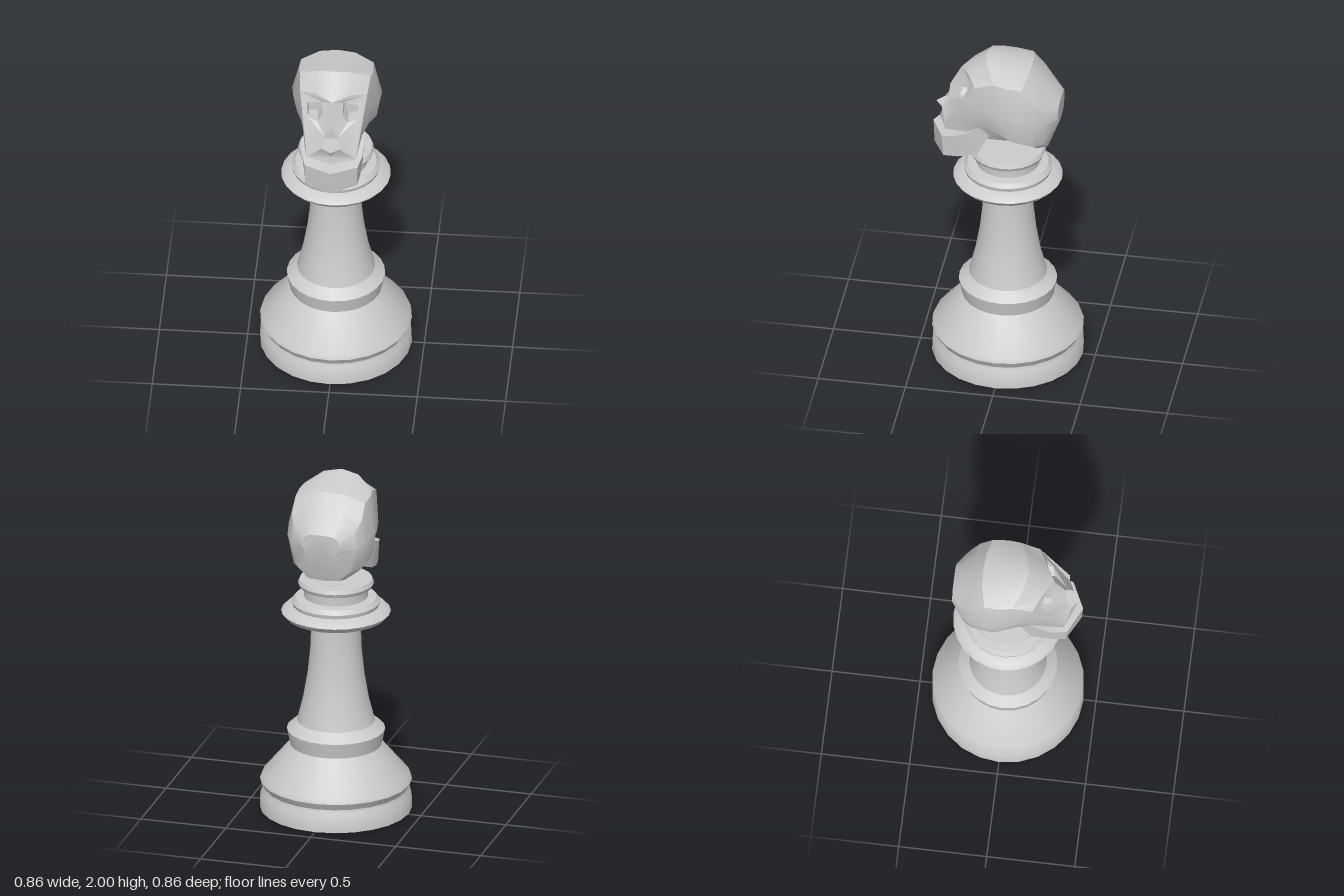
import * as THREE from 'three';
import { toCreasedNormals } from 'three/addons/utils/BufferGeometryUtils.js';

const material = new THREE.MeshStandardMaterial({ color: 0xcccccc });

// Collects triangles on the +x half and mirrors each one to -x.
class HalfSurface {
  constructor() { this.positions = []; }
  tri(a, b, c) {
    const flip = ([x, y, z]) => [-x, y, z];
    this.positions.push(...a, ...b, ...c, ...flip(a), ...flip(c), ...flip(b));
  }
  quad(a, b, c, d) { this.tri(a, b, c); this.tri(a, c, d); }
  // Stations run front to back; points in each run from top centre to bottom centre.
  loft(stations) {
    for (let i = 0; i < stations.length - 1; i++) {
      const s = stations[i], t = stations[i + 1];
      for (let j = 0; j < s.length - 1; j++) this.quad(s[j], s[j + 1], t[j + 1], t[j]);
    }
  }
  fan(points) {
    for (let i = 1; i < points.length - 1; i++) this.tri(points[0], points[i], points[i + 1]);
  }
  // Panel facing +z with a hole
  panel(contour, hole) {
    const all = [...contour, ...hole];
    const flat = (list) => list.map(([x, y]) => new THREE.Vector2(x, y));
    for (const [i, j, k] of THREE.ShapeUtils.triangulateShape(flat(contour), [flat(hole)])) {
      const [a, b, c] = [all[i], all[j], all[k]];
      const area = (b[0] - a[0]) * (c[1] - a[1]) - (b[1] - a[1]) * (c[0] - a[0]);
      if (area > 0) this.tri(a, b, c); else this.tri(a, c, b);
    }
  }
  // Recess behind a counter-clockwise rim
  socket(rim, backZ, closed) {
    const back = rim.map(([x, y]) => [x, y, backZ]);
    const count = closed ? rim.length : rim.length - 1;
    for (let i = 0; i < count; i++) {
      const n = (i + 1) % rim.length;
      this.quad(rim[i], rim[n], back[n], back[i]);
    }
    this.fan(back);
  }
  mesh(name, crease) {
    const geometry = new THREE.BufferGeometry();
    geometry.setAttribute('position', new THREE.Float32BufferAttribute(this.positions, 3));
    const mesh = new THREE.Mesh(toCreasedNormals(geometry, crease), material);
    mesh.name = name;
    return mesh;
  }
}

// Turned pawn body: base, stem, collar and top disc
function createPedestal() {
  const profile = [
    [0, 0], [0.43, 0.005], [0.427, 0.09], [0.412, 0.115], [0.408, 0.135], [0.43, 0.175], [0.42, 0.2],
    [0.26, 0.39], [0.278, 0.48], [0.22, 0.53], [0.185, 0.67], [0.16, 0.82], [0.145, 0.97], [0.14, 1.12],
    [0.24, 1.143], [0.285, 1.16], [0.31, 1.19], [0.285, 1.215], [0.245, 1.228], [0.25, 1.25],
    [0.23, 1.275], [0.18, 1.28], [0.18, 1.335], [0.205, 1.34], [0.215, 1.362], [0.205, 1.385], [0, 1.387],
  ].map(([r, y]) => new THREE.Vector2(r, y));
  const mesh = new THREE.Mesh(toCreasedNormals(new THREE.LatheGeometry(profile, 24), 0.6), material);
  mesh.name = 'pedestal';
  return mesh;
}

function createSkull() {
  const skull = new HalfSurface();
  // Edge of the face, from the middle of the brow down to the upper lip
  const faceEdge = [
    [0, 1.89, 0.265], [0.1, 1.905, 0.205], [0.19, 1.88, 0.16], [0.175, 1.76, 0.23],
    [0.15, 1.61, 0.335], [0.14, 1.55, 0.335], [0, 1.542, 0.39],
  ];
  const eye = [
    [0.145, 1.835, 0.205], [0.06, 1.865, 0.225], [0.06, 1.79, 0.25], [0.085, 1.75, 0.26], [0.14, 1.76, 0.24],
  ];
  const nose = [[0, 1.64, 0.41], [0.05, 1.64, 0.37], [0.038, 1.70, 0.335], [0, 1.765, 0.33]];
  skull.panel([...faceEdge, [0, 1.59, 0.375], ...nose], eye);
  skull.socket(eye, 0.165, true);
  skull.socket(nose, 0.27, false);

  // Cranium arches from the temples round to the back
  const backPlate = [
    [0, 1.755, -0.307], [0.07, 1.75, -0.307], [0.1, 1.73, -0.305], [0.11, 1.68, -0.305],
    [0.09, 1.64, -0.305], [0.06, 1.625, -0.307], [0, 1.62, -0.307],
  ];
  skull.loft([
    faceEdge,
    [[0, 2, 0.12], [0.1, 1.985, 0.1], [0.2, 1.92, 0.05], [0.205, 1.75, 0.13],
      [0.165, 1.62, 0.2], [0.15, 1.55, 0.2], [0, 1.55, 0.2]],
    [[0, 1.98, 0], [0.1, 1.967, 0], [0.21, 1.91, -0.02], [0.24, 1.73, 0.02],
      [0.195, 1.61, 0.07], [0.13, 1.5, 0.085], [0, 1.5, 0.085]],
    [[0, 1.955, -0.14], [0.1, 1.945, -0.135], [0.205, 1.9, -0.11], [0.255, 1.72, -0.08],
      [0.225, 1.56, -0.06], [0.12, 1.495, -0.05], [0, 1.495, -0.05]],
    [[0, 1.89, -0.195], [0.1, 1.88, -0.19], [0.205, 1.82, -0.18], [0.232, 1.69, -0.18],
      [0.195, 1.52, -0.18], [0.11, 1.457, -0.19], [0, 1.455, -0.19]],
    [[0, 1.82, -0.253], [0.09, 1.81, -0.25], [0.18, 1.76, -0.235], [0.195, 1.66, -0.24],
      [0.16, 1.53, -0.24], [0.09, 1.465, -0.245], [0, 1.46, -0.25]],
    backPlate,
  ]);
  skull.fan(backPlate);
  return skull.mesh('skull', 0.55);
}

// Lower jaw, open under the upper lip and rising to the cheeks
function createJaw() {
  const jaw = new HalfSurface();
  const chin = [[0, 1.505, 0.427], [0.15, 1.505, 0.355], [0.145, 1.37, 0.345], [0, 1.36, 0.42]];
  const hinge = [[0, 1.58, 0.12], [0.168, 1.6, 0.13], [0.16, 1.54, 0.085], [0, 1.54, 0.085]];
  jaw.loft([
    chin,
    [[0, 1.505, 0.33], [0.172, 1.525, 0.27], [0.158, 1.38, 0.26], [0, 1.365, 0.34]],
    [[0, 1.53, 0.2], [0.172, 1.555, 0.2], [0.165, 1.41, 0.15], [0, 1.41, 0.15]],
    hinge,
  ]);
  jaw.fan([...chin].reverse());
  jaw.fan(hinge);
  return jaw.mesh('lowerJaw', 0.45);
}

export function createModel() {
  const model = new THREE.Group();
  model.name = 'skullPawn';
  const head = new THREE.Group();
  head.name = 'head';
  head.add(createSkull(), createJaw());
  model.add(createPedestal(), head);
  return model;
}
